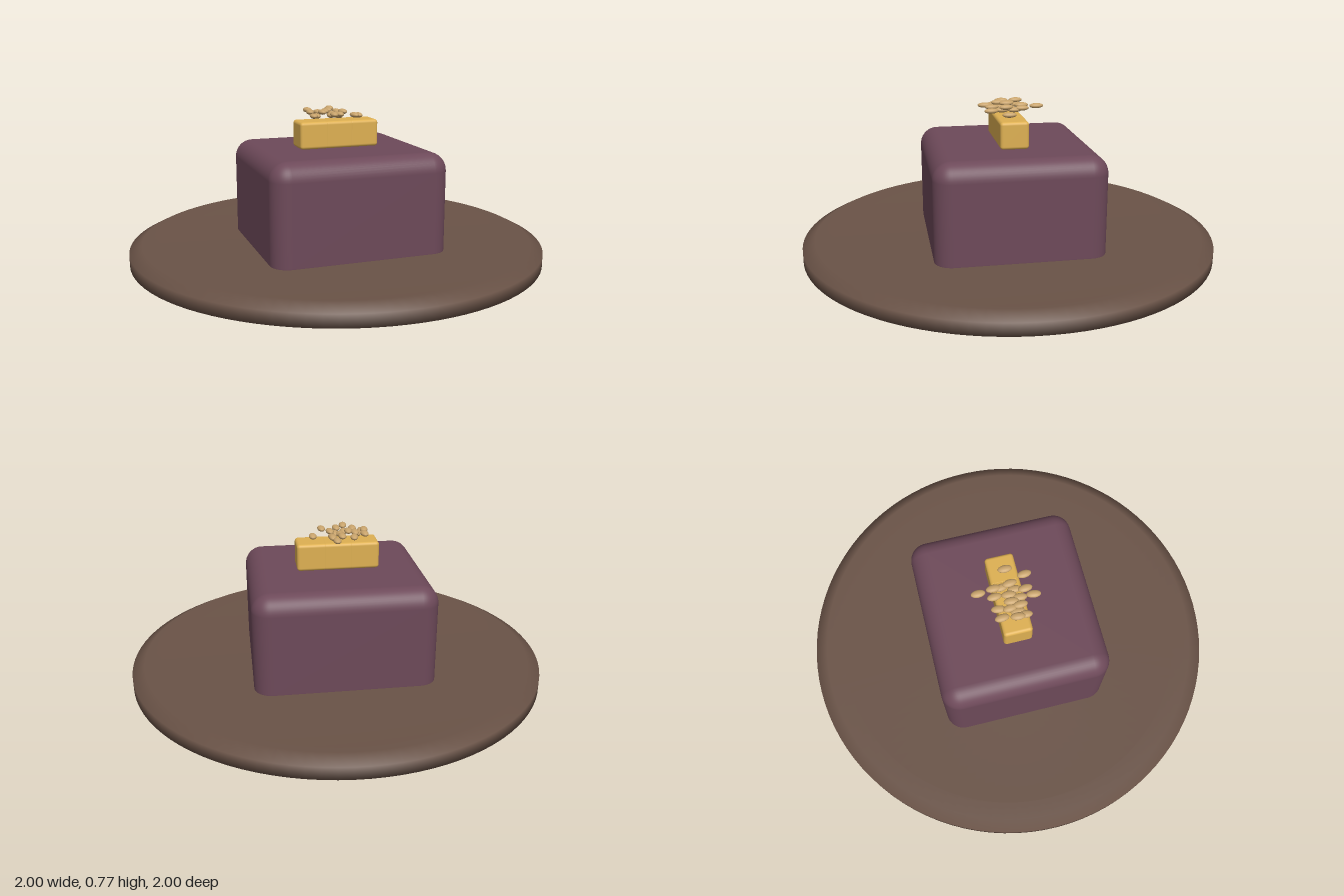
import * as THREE from 'three';
import { RoundedBoxGeometry } from 'three/addons/geometries/RoundedBoxGeometry.js';

const material = (name, color) => {
  const m = new THREE.MeshStandardMaterial({ color });
  m.name = name;
  return m;
};

export function createModel() {
  const clay = material('brown clay', 0x6a5347);
  const purple = material('plum purple', 0x6d4959);
  const gold = material('golden', 0xdeb052);
  const tan = material('seed tan', 0xc9a46c);

  const model = new THREE.Group();
  model.name = 'dessertOnPlate';
  const add = (name, geometry, mat, x, y, z, parent = model) => {
    const mesh = new THREE.Mesh(geometry, mat);
    mesh.name = name;
    mesh.position.set(x, y, z);
    parent.add(mesh);
    return mesh;
  };

  // Plate: bevelled underside, raised rim and flat floor
  const profile = [[0, 0], [0.7, 0], [1, 0.062], [1, 0.12], [0.94, 0.15], [0.86, 0.12], [0, 0.12]];
  add('plate', new THREE.LatheGeometry(profile.map(([r, y]) => new THREE.Vector2(r, y)), 96), clay, 0, 0, 0);

  // Cake block, its rounded base sunk into the plate
  add('cake', new RoundedBoxGeometry(0.85, 0.55, 0.8, 6, 0.085), purple, 0, 0.315, 0);

  // Row of three golden pieces on top, pressed together
  const topping = new THREE.Group();
  topping.name = 'topping';
  model.add(topping);
  const piece = new RoundedBoxGeometry(0.145, 0.13, 0.135, 3, 0.015);
  for (const x of [-0.126, -0.003, 0.12]) add('goldenPiece', piece, gold, x, 0.653, 0.001, topping);

  // Scattered seeds, each lying along z
  const seeds = new THREE.Group();
  seeds.name = 'seeds';
  model.add(seeds);
  const seed = new THREE.SphereGeometry(1, 14, 10).scale(0.0185, 0.0125, 0.034);
  const spots = [
    [0.012, 0.757, -0.135], [-0.127, 0.762, -0.058], [-0.078, 0.748, -0.063],
    [-0.02, 0.757, -0.068], [0.023, 0.75, -0.063], [-0.135, 0.76, 0.012],
    [-0.088, 0.756, -0.012], [-0.058, 0.76, 0], [-0.02, 0.746, -0.002],
    [0.028, 0.757, 0.014], [-0.128, 0.745, 0.048], [-0.083, 0.761, 0.037],
    [-0.01, 0.753, 0.077], [-0.047, 0.756, 0.107], [0.06, 0.748, 0.09],
    [0.11, 0.736, 0.012], [-0.042, 0.745, 0.045], [0.022, 0.743, -0.028],
    [-0.105, 0.741, 0.02], [0.002, 0.74, 0.03],
  ];
  spots.forEach(([x, y, z], i) => {
    add('seed', seed, tan, x, y, z, seeds).rotation.y = 0.12 * Math.sin(i * 2.3);
  });

  return model;
}
